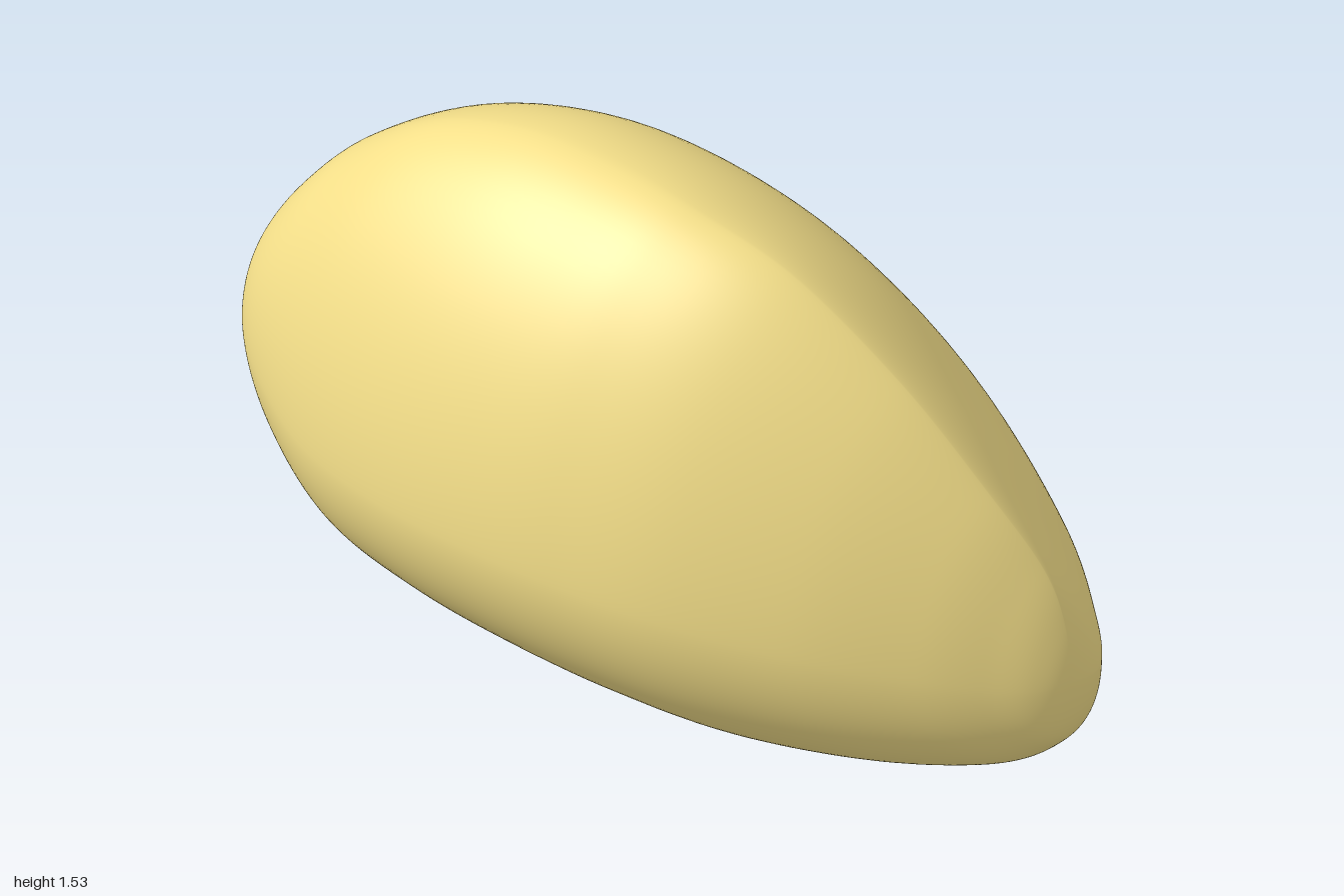
import * as THREE from 'three';

// Cross-sections front to back: z, then x,y of the +x, top, -x and bottom extremes
const SECTIONS = [
  [1.0, 0.37, 0.33, 0.37, 0.33, 0.37, 0.33, 0.37, 0.33],
  [0.985, 0.46, 0.31, 0.37, 0.48, 0.28, 0.33, 0.37, 0.19],
  [0.94, 0.525, 0.31, 0.34, 0.64, 0.18, 0.35, 0.37, 0.115],
  [0.84, 0.595, 0.34, 0.25, 0.85, 0.01, 0.4, 0.35, 0.045],
  [0.65, 0.685, 0.41, 0.13, 1.13, -0.23, 0.48, 0.27, 0.01],
  [0.4, 0.72, 0.53, 0.0, 1.375, -0.45, 0.56, 0.18, 0.003],
  [0.15, 0.65, 0.7, -0.1, 1.485, -0.585, 0.61, 0.1, 0.03],
  [-0.1, 0.55, 0.78, -0.15, 1.525, -0.67, 0.64, 0.0, 0.08],
  [-0.35, 0.425, 0.81, -0.2, 1.525, -0.715, 0.66, -0.15, 0.155],
  [-0.6, 0.275, 0.84, -0.27, 1.46, -0.72, 0.69, -0.3, 0.255],
  [-0.8, 0.095, 0.89, -0.33, 1.33, -0.685, 0.77, -0.37, 0.42],
  [-0.92, -0.09, 0.93, -0.39, 1.19, -0.635, 0.85, -0.41, 0.63],
  [-0.98, -0.28, 0.95, -0.43, 1.07, -0.56, 0.92, -0.43, 0.82],
  [-1.0, -0.45, 0.96, -0.45, 0.96, -0.45, 0.96, -0.45, 0.96],
];
// Roundness of each quadrant at the front and back: upper +x, upper -x, lower -x, lower +x
const ROUNDNESS = [[1.27, 1.95], [1.8, 1.8], [1.9, 1.9], [2.25, 2.1]];

// The section beyond a tip is its neighbour turned half round, so the tips close smoothly
const turned = (r) => [r[0], ...r.slice(5), ...r.slice(1, 5)];

function catmullRom(a, b, c, d, t) {
  return 0.5 * (2 * b + (c - a) * t + (2 * a - 5 * b + 4 * c - d) * t * t + (3 * b - a - 3 * c + d) * t * t * t);
}

function sectionAt(u) {
  const last = SECTIONS.length - 1;
  const i = Math.min(Math.floor(u), last - 1);
  const row = (k) => (k < 0 ? turned(SECTIONS[1]) : k > last ? turned(SECTIONS[last - 1]) : SECTIONS[k]);
  const [a, b, c, d] = [row(i - 1), row(i), row(i + 1), row(i + 2)];
  return b.map((v, k) => catmullRom(a[k], v, c[k], d[k], u - i));
}

function pebbleGeometry(rings = 130, sides = 128) {
  const positions = [];
  const index = [];
  for (let i = 0; i <= rings; i++) {
    const t = i / rings;
    const [z, rx, ry, tx, ty, lx, ly, bx, by] = sectionAt(t * (SECTIONS.length - 1));
    if (i === 0 || i === rings) {
      positions.push(rx, ry, z);
      continue;
    }
    // The flatter front face gives way to the rounder back around mid-length
    const blend = THREE.MathUtils.smoothstep(t, 0.3, 0.7);
    for (let j = 0; j < sides; j++) {
      const angle = (j / sides) * Math.PI * 2;
      const [front, back] = ROUNDNESS[Math.floor((j / sides) * 4)];
      const power = 2 / THREE.MathUtils.lerp(front, back, blend);
      const c = Math.abs(Math.cos(angle)) ** power;
      const s = Math.abs(Math.sin(angle)) ** power;
      const [sideX, sideY] = Math.cos(angle) > 0 ? [rx, ry] : [lx, ly];
      const [poleX, poleY] = Math.sin(angle) > 0 ? [tx, ty] : [bx, by];
      positions.push(poleX + (sideX - poleX) * c, sideY + (poleY - sideY) * s, z);
    }
  }
  // Tip fans and the skin between rings
  const at = (i, j) => 1 + (i - 1) * sides + (j % sides);
  const end = 1 + (rings - 1) * sides;
  for (let j = 0; j < sides; j++) {
    index.push(0, at(1, j), at(1, j + 1));
    for (let i = 1; i < rings - 1; i++) {
      index.push(at(i, j), at(i + 1, j), at(i, j + 1));
      index.push(at(i, j + 1), at(i + 1, j), at(i + 1, j + 1));
    }
    index.push(at(rings - 1, j), end, at(rings - 1, j + 1));
  }
  const geometry = new THREE.BufferGeometry();
  geometry.setAttribute('position', new THREE.Float32BufferAttribute(positions, 3));
  geometry.setIndex(index);
  geometry.computeVertexNormals();
  return geometry;
}

export function createModel() {
  const group = new THREE.Group();
  group.name = 'pebble';
  const body = new THREE.Mesh(pebbleGeometry(), new THREE.MeshStandardMaterial({ color: 0xf4df89 }));
  body.name = 'pebbleBody';
  group.add(body);
  return group;
}
